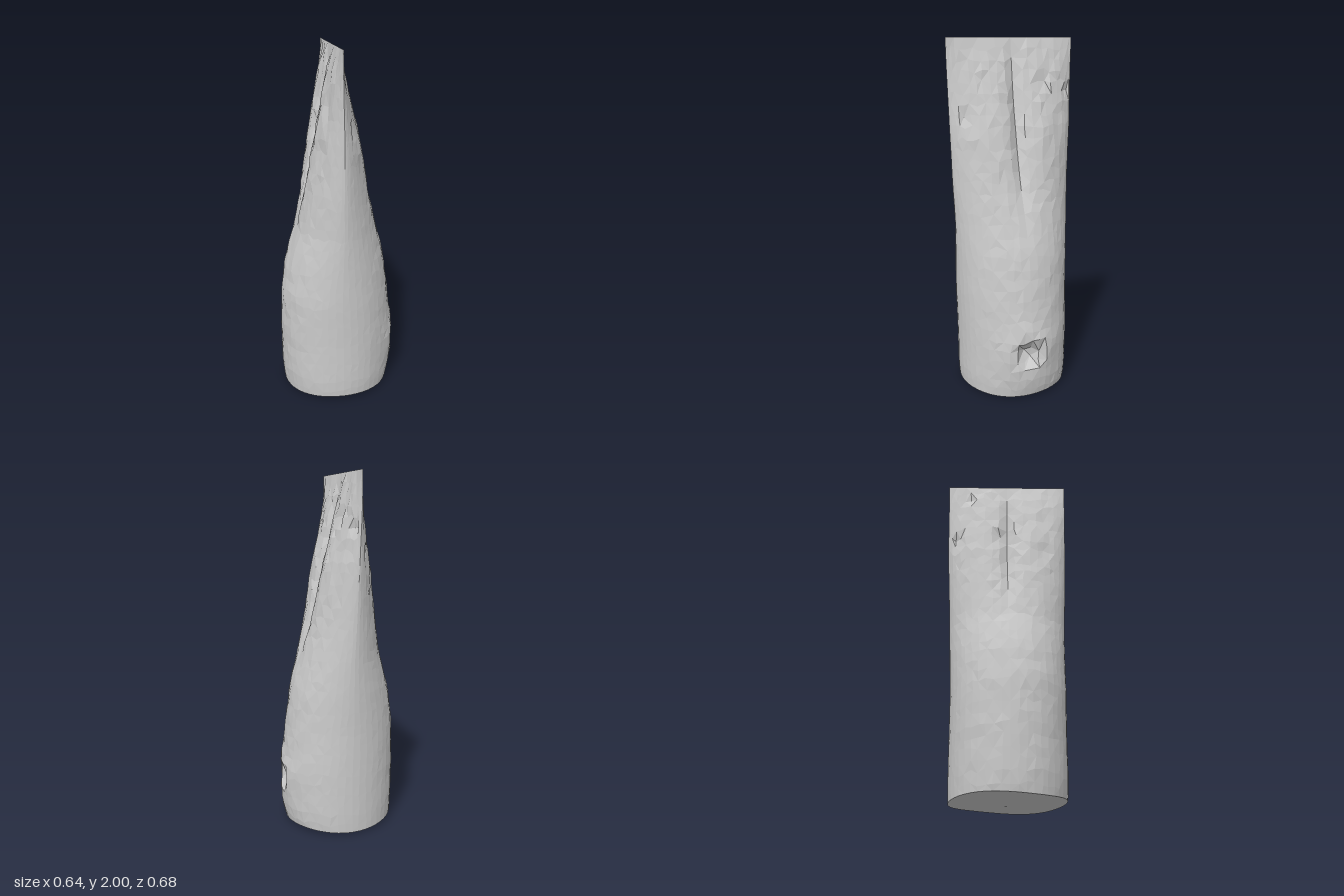
import * as THREE from 'three';

const SEGMENTS = 48, ROWS = 34, HEIGHT = 2;

// Stations up the tube: y, half width, half thickness, seam pinch, centre x, centre z, x scale
const STATIONS = [
  [0, 0.318, 0.318, 0, 0.003, 0.005, 0.97],
  [0.1, 0.327, 0.331, 0, 0.005, 0.004, 0.955],
  [0.35, 0.33, 0.335, 0, 0.004, 0.004, 0.95],
  [0.6, 0.334, 0.322, 0.04, 0.002, 0.012, 0.95],
  [0.8, 0.338, 0.292, 0.1, 0, 0.008, 0.955],
  [1.0, 0.342, 0.236, 0.16, 0, 0.004, 0.965],
  [1.2, 0.348, 0.197, 0.22, -0.002, 0.01, 0.98],
  [1.5, 0.356, 0.147, 0.32, -0.006, 0.012, 1],
  [1.7, 0.36, 0.094, 0.4, -0.009, 0.018, 1],
  [1.85, 0.363, 0.052, 0.45, -0.011, 0.022, 1],
  [2, 0.366, 0, 0.5, -0.011, 0.022, 1],
];

// Small dents along the crumpled upper part: angle, y, depth
const DENTS = [
  [0.85, 1.68, 0.03], [0.9, 1.45, 0.025], [1.75, 1.56, 0.02], [2.6, 1.56, 0.03],
  [2.3, 1.9, 0.025], [5.6, 1.56, 0.03], [4.2, 1.78, 0.025], [3.6, 1.7, 0.025],
];

// Flat squeezed seam runs diagonally across x and z
const ALONG = new THREE.Vector2(0.858, 0.513);
const ACROSS = new THREE.Vector2(-0.513, 0.858);

const noise = (i, j, k) => {
  const s = Math.sin(i * 127.1 + j * 311.7 + k * 74.7) * 43758.5453;
  return (s - Math.floor(s)) * 2 - 1;
};

const bump = (d, radius) => Math.exp(-Math.pow(d / radius, 2));

function station(y) {
  let i = 0;
  while (i < STATIONS.length - 2 && y > STATIONS[i + 1][0]) i++;
  const a = STATIONS[i], b = STATIONS[i + 1];
  const f = (y - a[0]) / (b[0] - a[0]);
  return a.map((v, k) => v + (b[k] - v) * f);
}

// Point on the squeezed wall at column i, row j
function wallPoint(i, j) {
  const crease = i % (SEGMENTS / 4) === 0;
  const seam = i % (SEGMENTS / 2) === 0;
  const end = j === 0 || j === ROWS;
  let y = (j / ROWS) * HEIGHT;
  if (!end) y += noise(i, j, 1) * 0.014;
  const angle = (i / SEGMENTS) * Math.PI * 2 + (crease || end ? 0 : noise(i, j, 2) * 0.025);
  const [, width, thick, pinch, cx, cz, scaleX] = station(y);
  const s = Math.sin(angle);
  const side = Math.sign(s);
  const t = width * Math.cos(angle);
  let n = thick * s * Math.pow(Math.abs(s), pinch);

  // Sharp fold running down the middle of each broad side
  const fold = THREE.MathUtils.smoothstep(y, 0.85, 1.75);
  n *= 1 - 0.6 * fold * Math.exp(-Math.abs(t) / 0.055);

  // Facets and dents grow towards the flattened end
  if (!end && !seam) {
    if (!crease) n += side * noise(i, j, 3) * (0.003 + 0.003 * fold) * Math.abs(s);
    for (const [a, dy, depth] of DENTS) {
      const d = Math.hypot((angle - a) * 0.3, y - dy);
      n -= side * Math.min(Math.abs(n), depth * bump(d, 0.032));
    }
  }

  const p = new THREE.Vector3(
    cx + (t * ALONG.x + n * ACROSS.x) * scaleX, y, cz + t * ALONG.y + n * ACROSS.y);
  if (j === 0) p.y = 0.014 + 0.006 * Math.cos(angle * 3);

  // Round scoop with a raised rim low on the back
  if (!end) {
    const d = Math.hypot(p.x - 0.18, p.y - 0.27, p.z + 0.27);
    const push = 0.045 * bump(d, 0.13) - 0.105 * bump(d, 0.065);
    p.x += push * 0.55;
    p.z -= push * 0.83;
  }
  return p;
}

function facetedMesh(name, positions, indices, material) {
  const geometry = new THREE.BufferGeometry();
  geometry.setAttribute('position', new THREE.Float32BufferAttribute(positions, 3));
  geometry.setIndex(indices);
  geometry.computeVertexNormals();
  const mesh = new THREE.Mesh(geometry, material);
  mesh.name = name;
  return mesh;
}

export function createModel() {
  const group = new THREE.Group();
  group.name = 'squeezedTube';
  const material = new THREE.MeshStandardMaterial({
    color: 0xcccccc, flatShading: true, side: THREE.DoubleSide,
  });

  // Wall from round base to flat top seam
  const positions = [], indices = [];
  for (let j = 0; j <= ROWS; j++) {
    for (let i = 0; i < SEGMENTS; i++) positions.push(...wallPoint(i, j).toArray());
  }
  for (let j = 0; j < ROWS; j++) {
    for (let i = 0; i < SEGMENTS; i++) {
      const next = (i + 1) % SEGMENTS;
      const a = j * SEGMENTS + i, b = j * SEGMENTS + next;
      const c = a + SEGMENTS, d = b + SEGMENTS;
      if ((i + j) % 2) indices.push(a, c, b, b, c, d);
      else indices.push(a, c, d, a, d, b);
    }
  }
  group.add(facetedMesh('tubeWall', positions, indices, material));

  // Closed base
  const cap = [0.003, 0, 0.005], capIndices = [];
  for (let i = 0; i < SEGMENTS; i++) {
    cap.push(...wallPoint(i, 0).toArray());
    capIndices.push(0, i + 1, ((i + 1) % SEGMENTS) + 1);
  }
  group.add(facetedMesh('baseCap', cap, capIndices, material));

  return group;
}
